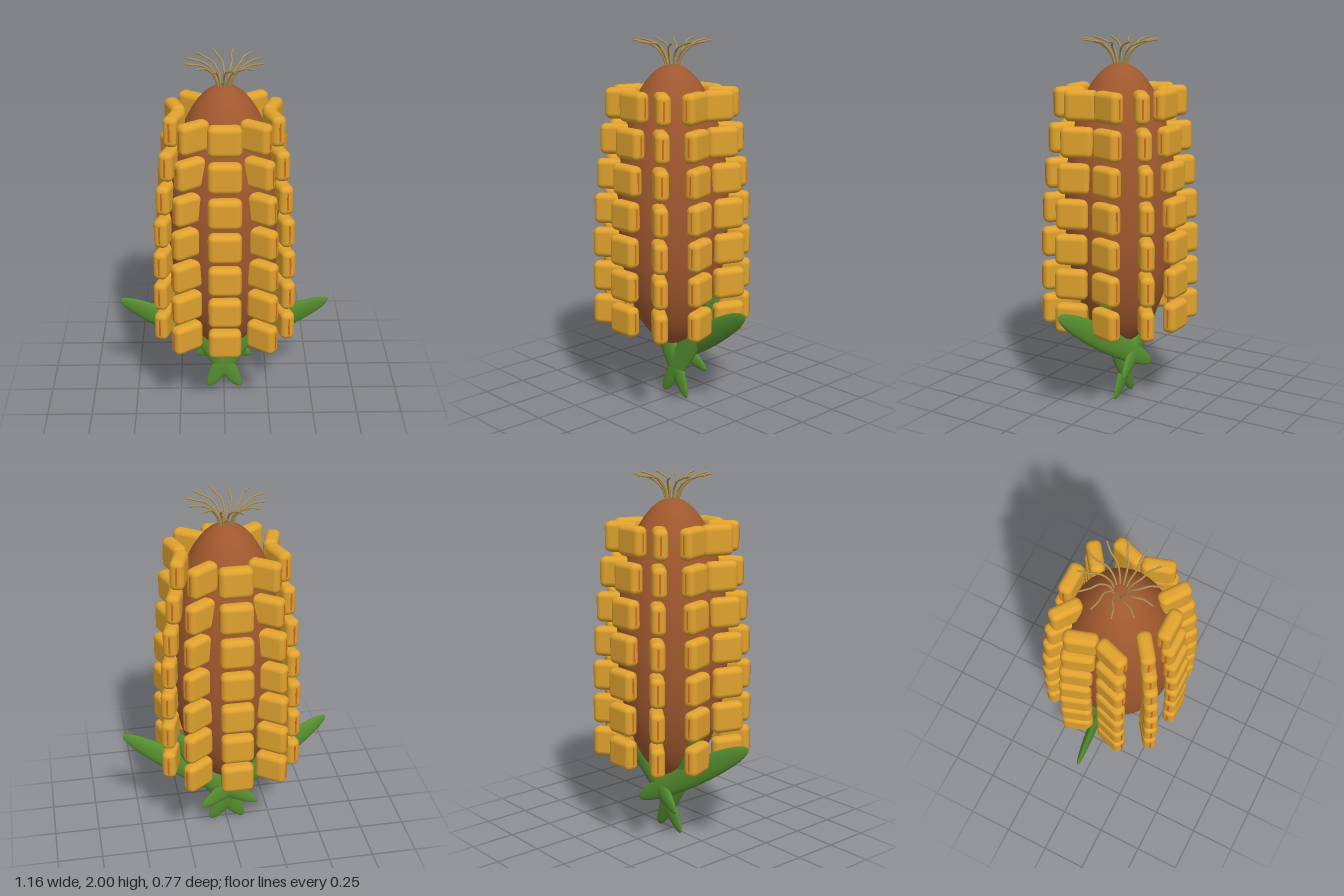
import * as THREE from 'three';
import { RoundedBoxGeometry } from 'three/addons/geometries/RoundedBoxGeometry.js';

const material = (name, color) => {
  const m = new THREE.MeshStandardMaterial({ color });
  m.name = name;
  return m;
};

export function createModel() {
  const model = new THREE.Group();
  model.name = 'cornCob';
  const brown = material('cobBrown', 0xa0582e);
  const yellow = material('kernelYellow', 0xe0a22e);
  const orange = material('kernelOrange', 0xd2691e);
  const green = material('leafGreen', 0x558f2f);
  const tan = material('silkTan', 0xae9050);

  const add = (parent, name, geometry, mat) => {
    const mesh = new THREE.Mesh(geometry, mat);
    mesh.name = name;
    parent.add(mesh);
    return mesh;
  };

  // Cob core
  const core = add(model, 'cob', new THREE.SphereGeometry(1, 48, 32), brown);
  core.scale.set(0.305, 0.775, 0.305);
  core.position.y = 1.095;

  // Kernels: ten columns of seven, each turned against its place on the ring
  const kernelGeometry = new RoundedBoxGeometry(0.175, 0.164, 0.077, 3, 0.03);
  const fleckGeometry = new THREE.BoxGeometry(0.003, 0.1, 0.01);
  const rowRadius = [0.345, 0.345, 0.342, 0.334, 0.319, 0.298, 0.27];
  rowRadius.forEach((radius, row) => {
    for (let column = 0; column < 10; column++) {
      const angle = (column * Math.PI) / 5;
      const kernel = new THREE.Group();
      kernel.name = 'kernel';
      kernel.position.set(radius * Math.sin(angle), 0.53 + row * 0.1895, radius * Math.cos(angle));
      kernel.rotation.y = -angle;
      add(kernel, 'kernelBody', kernelGeometry, yellow);
      // Thin darker seam on both narrow ends
      for (const side of [-1, 1]) {
        add(kernel, 'kernelSeam', fleckGeometry, orange).position.x = side * 0.087;
      }
      model.add(kernel);
    }
  });

  // Husk leaves: flat ellipsoids between a lower and an upper tip, mirrored
  const leafGeometry = new THREE.SphereGeometry(1, 32, 24);
  const addLeaf = (name, low, high, width, thickness) => {
    const along = high.clone().sub(low);
    const half = along.length() / 2;
    along.normalize();
    const across = new THREE.Vector3(0, 0, 1).cross(along).normalize();
    const normal = across.clone().cross(along);
    const leaf = add(model, name, leafGeometry, green);
    leaf.quaternion.setFromRotationMatrix(new THREE.Matrix4().makeBasis(across, along, normal));
    leaf.scale.set(width, half, thickness);
    leaf.position.copy(low).add(high).multiplyScalar(0.5);
  };
  for (const s of [-1, 1]) {
    addLeaf('outerLeaf', new THREE.Vector3(-0.16 * s, 0.165, -0.11),
      new THREE.Vector3(0.58 * s, 0.62, 0.025), 0.07, 0.028);
    addLeaf('innerLeaf', new THREE.Vector3(-0.095 * s, 0.005, -0.02),
      new THREE.Vector3(0.3 * s, 0.66, -0.06), 0.068, 0.026);
  }

  // Silk: twelve swirling strands, as radius, height and twist in degrees
  const strand = [[0.03, 1.85, 0], [0.055, 1.92, 1], [0.1, 1.965, -5], [0.145, 1.985, -14], [0.2, 1.995, -15]];
  for (let i = 0; i < 12; i++) {
    const points = strand.map(([r, y, twist]) => {
      const a = THREE.MathUtils.degToRad(i * 30 + twist);
      return new THREE.Vector3(r * Math.sin(a), y, -r * Math.cos(a));
    });
    const curve = new THREE.CatmullRomCurve3(points);
    add(model, 'silkStrand', new THREE.TubeGeometry(curve, 20, 0.005, 8), tan);
    add(model, 'silkTip', new THREE.SphereGeometry(0.005, 8, 6), tan).position.copy(points[4]);
  }
  return model;
}
